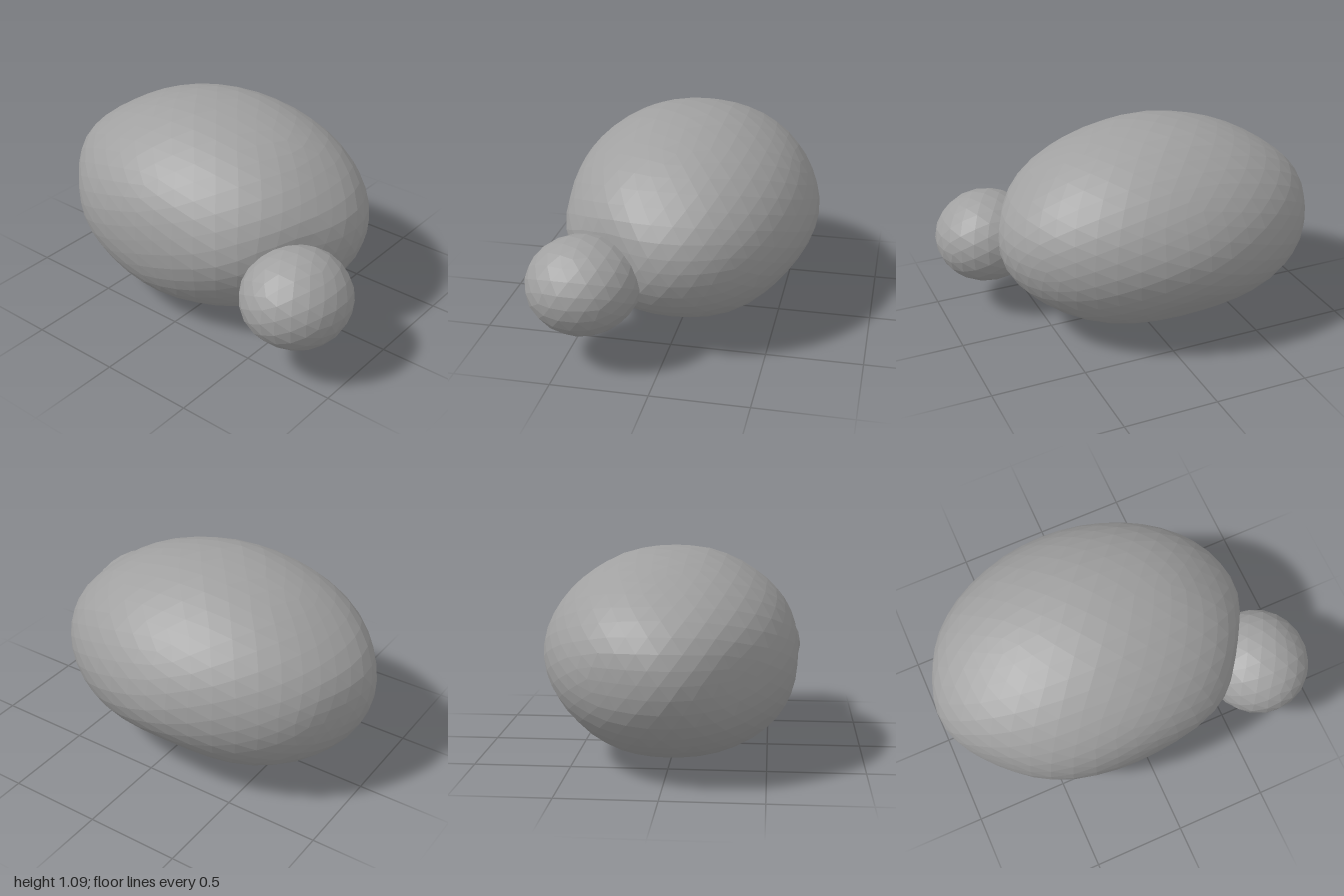
import * as THREE from 'three';

// A faceted boulder: an ellipsoid pushed in or out around a few directions.
function makeBoulder(name, material, detail, center, radii, bumps) {
  const geometry = new THREE.IcosahedronGeometry(1, detail);
  const pos = geometry.attributes.position;
  const dirs = bumps.map(([x, y, z, amount, width]) => ({
    dir: new THREE.Vector3(x, y, z).normalize(), amount, width,
  }));
  const v = new THREE.Vector3();
  for (let i = 0; i < pos.count; i++) {
    v.fromBufferAttribute(pos, i).normalize();
    let r = 1;
    for (const b of dirs) {
      r += b.amount * Math.exp(-v.distanceToSquared(b.dir) / (b.width * b.width));
    }
    pos.setXYZ(i, v.x * r * radii[0], v.y * r * radii[1], v.z * r * radii[2]);
  }
  geometry.computeVertexNormals();
  const mesh = new THREE.Mesh(geometry, material);
  mesh.name = name;
  mesh.position.set(...center);
  return mesh;
}

export function createModel() {
  const group = new THREE.Group();
  group.name = 'boulders';
  const stone = new THREE.MeshStandardMaterial({ color: 0xa0a0a0, flatShading: true });
  stone.name = 'grey stone';

  // Large boulder: flattish top and front, bottom slightly pointed
  group.add(makeBoulder('largeBoulder', stone, 7, [-0.115, 0.547, 0], [0.885, 0.547, 0.675], [
    [0, 0, 1, -0.03, 0.35],
    [0, 0, -1, 0.02, 0.35],
    [0, 0.96, 0.29, 0.02, 0.25],
    [0, 0.96, -0.29, 0.015, 0.25],
    [0, -0.72, 0.72, 0.03, 0.35],
    [0, -0.65, -0.76, -0.07, 0.4],
    [-0.8, 0, 0.58, -0.04, 0.35],
    [0.9, 0, 0.42, -0.05, 0.3],
    [0.54, 0, 0.84, 0.025, 0.25],
    [-0.95, 0, -0.32, -0.025, 0.3],
    [-0.31, -0.95, 0, -0.03, 0.25],
    [0.65, -0.76, 0, -0.025, 0.35],
    [-0.7, 0.7, 0, -0.03, 0.35],
    [0.8, 0.58, 0, -0.025, 0.3],
  ]));

  // Small boulder resting against the front left
  group.add(makeBoulder('smallBoulder', stone, 3, [0.718, 0.425, 0.395], [0.282, 0.25, 0.292], [
    [-0.75, -0.65, 0, 0.04, 0.4],
    [0.7, 0.7, 0, -0.03, 0.4],
    [0, -0.7, 0.7, -0.02, 0.4],
    [0, -0.7, -0.7, -0.03, 0.4],
  ]));
  return group;
}
